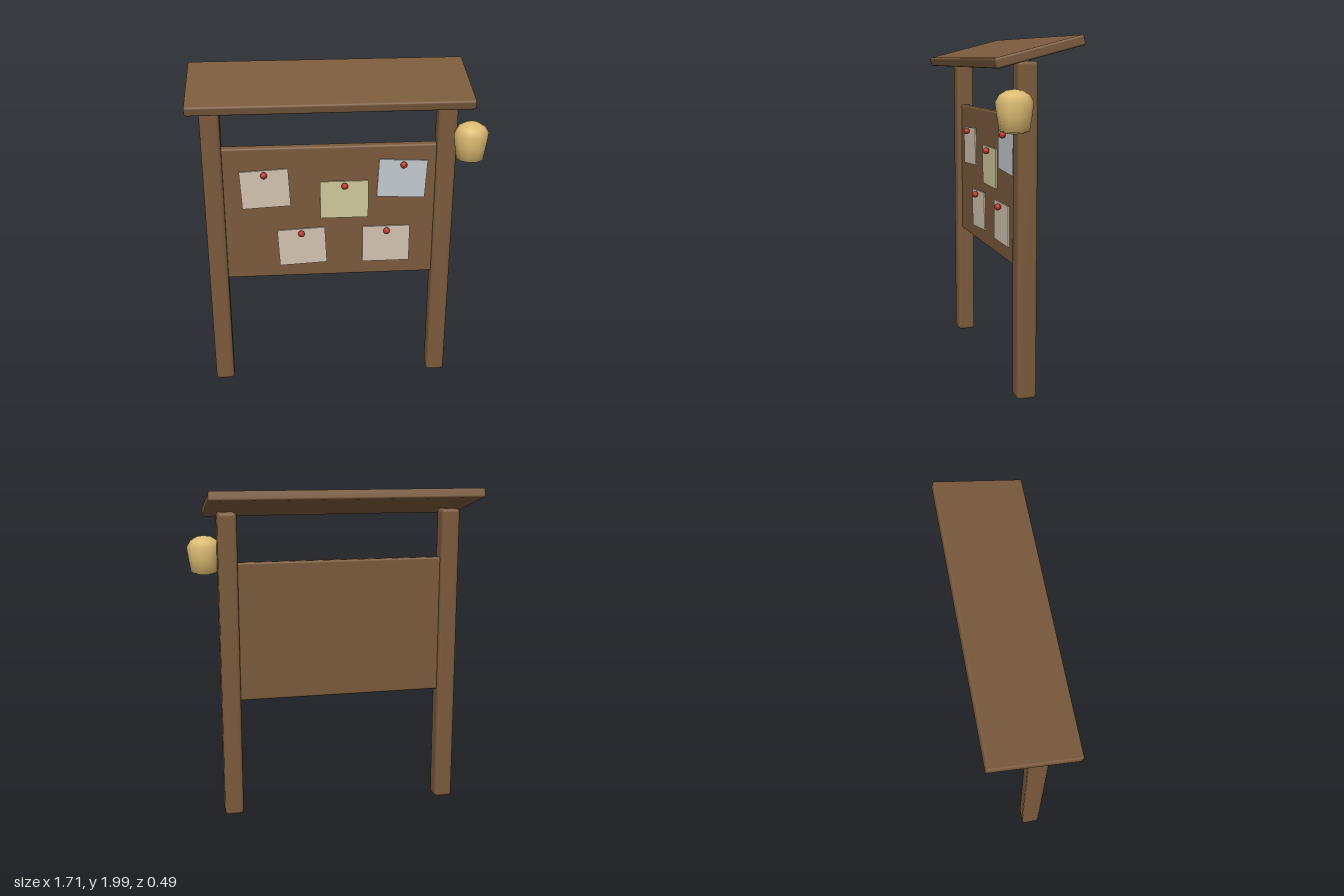
import * as THREE from 'three';
import { RoundedBoxGeometry } from 'three/addons/geometries/RoundedBoxGeometry.js';

const mat = (name, color) => {
  const m = new THREE.MeshStandardMaterial({ color });
  m.name = name;
  return m;
};

export function createModel() {
  const group = new THREE.Group();
  const wood = mat('wood', 0x7a5a3c);
  const brass = mat('lanternGold', 0xdcbb72);
  const red = mat('pinRed', 0xb83228);
  const cream = mat('paperCream', 0xd2c3b0);
  const yellow = mat('paperYellow', 0xcfc89c);
  const blue = mat('paperBlue', 0xc3cace);

  const add = (name, geometry, material, x, y, z) => {
    const mesh = new THREE.Mesh(geometry, material);
    mesh.name = name;
    mesh.position.set(x, y, z);
    group.add(mesh);
    return mesh;
  };

  // Two upright posts with softened edges
  const postGeo = new RoundedBoxGeometry(0.114, 1.86, 0.114, 2, 0.022);
  add('rightPost', postGeo, wood, -0.733, 0.935, 0.045);
  add('leftPost', postGeo, wood, 0.627, 0.935, 0.045);

  // Notice panel between the posts
  add('panel', new RoundedBoxGeometry(1.3, 0.84, 0.055, 2, 0.012), wood, -0.053, 1.15, 0.045);

  // Sloping roof board, low at the front
  const roof = add('roof', new RoundedBoxGeometry(1.607, 0.056, 0.502, 2, 0.012), wood, -0.052, 1.913, 0);
  roof.rotation.x = 0.25;

  // Pinned notices: x, y, tilt, paper material
  const paperGeo = new THREE.BoxGeometry(0.286, 0.235, 0.008);
  const pinGeo = new THREE.SphereGeometry(0.02, 12, 8);
  [
    [-0.434, 1.317, 0.05, cream],
    [0.032, 1.236, 0, yellow],
    [0.373, 1.36, -0.05, blue],
    [-0.222, 0.934, 0.05, cream],
    [0.286, 0.936, 0, cream],
  ].forEach(([x, y, tilt, paperMat], i) => {
    const paper = add('notice' + (i + 1), paperGeo, paperMat, x, y, 0.077);
    paper.rotation.z = tilt;
    add('pin' + (i + 1), pinGeo, red, x - Math.sin(tilt) * 0.094, y + Math.cos(tilt) * 0.094, 0.1);
  });

  // Ten-sided lantern on the outer front corner of the left post
  const profile = [
    [0, 0], [0.045, 0.003], [0.08, 0.016], [0.092, 0.09], [0.102, 0.165],
    [0.08, 0.203], [0.042, 0.226], [0, 0.232],
  ].map(([r, y]) => new THREE.Vector2(r, y));
  const lantern = add('lantern', new THREE.LatheGeometry(profile, 10), brass, 0.753, 1.49, 0.145);
  lantern.rotation.y = Math.PI / 10;

  return group;
}
